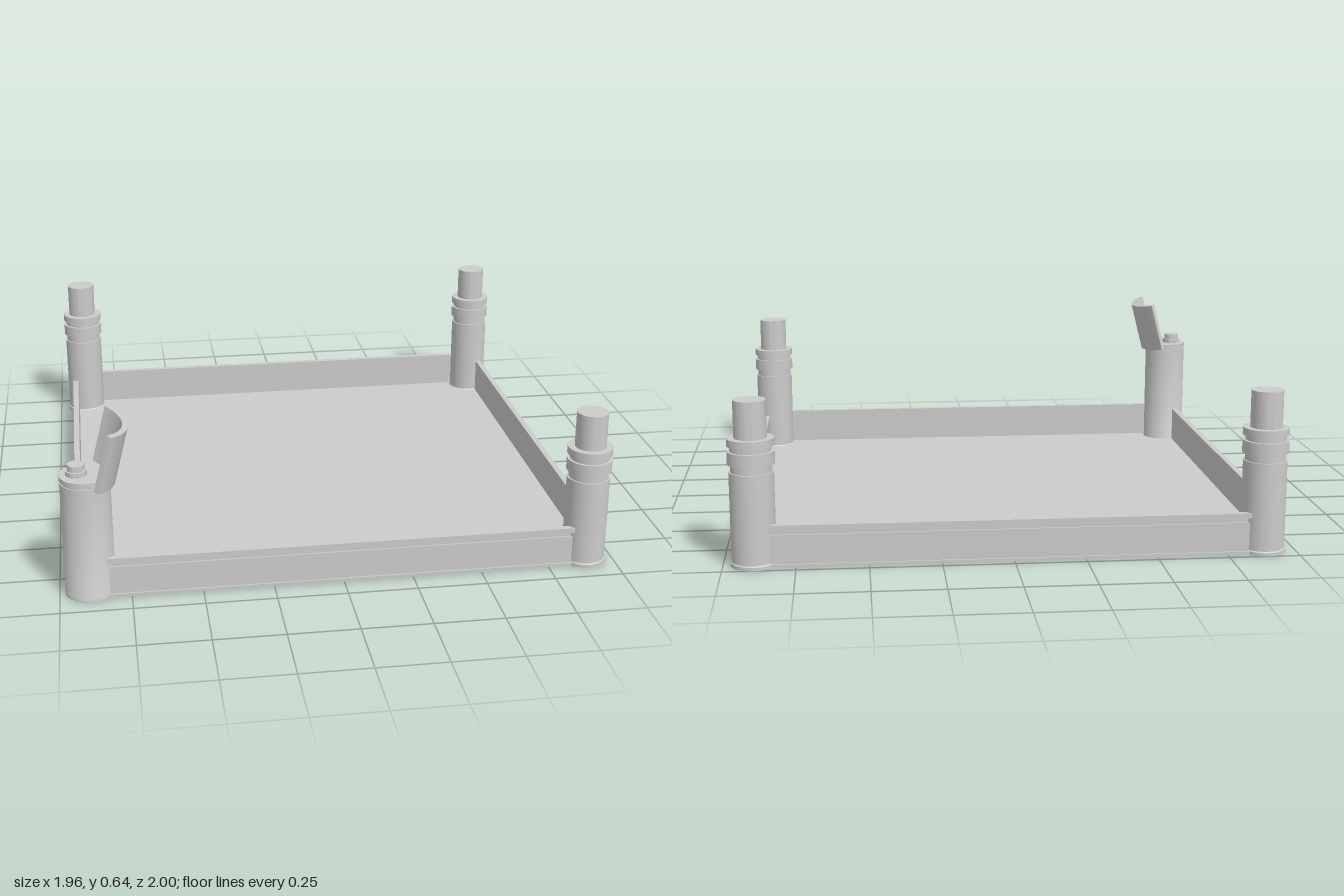
import * as THREE from 'three';
import { toCreasedNormals } from 'three/addons/utils/BufferGeometryUtils.js';

const material = new THREE.MeshStandardMaterial({ color: 0xcccccc });

function part(name, geometry, x = 0, y = 0, z = 0) {
  const mesh = new THREE.Mesh(geometry, material);
  mesh.name = name;
  mesh.position.set(x, y, z);
  return mesh;
}

// Turned solid from [radius, height] pairs, bottom to top
function turned(profile) {
  const points = profile.map(([r, y]) => new THREE.Vector2(r, y));
  return toCreasedNormals(new THREE.LatheGeometry(points, 40), 0.5);
}

// Wall section with a lower face, a groove and a top rim; +x is outward
function wallGeometry(length) {
  const shape = new THREE.Shape([
    [-0.022, 0.005], [-0.006, 0.005], [-0.006, 0.115], [-0.012, 0.115],
    [-0.012, 0.132], [0, 0.132], [0, 0.15], [-0.022, 0.15],
  ].map(([x, y]) => new THREE.Vector2(x, y)));
  const geometry = new THREE.ExtrudeGeometry(shape, { depth: length, bevelEnabled: false });
  return geometry.translate(0, 0, -length / 2);
}

export function createModel() {
  const model = new THREE.Group();
  model.name = 'tray';

  // Floor slab
  const halfX = 0.939, back = -0.976, front = 0.912;
  const midZ = (back + front) / 2;
  model.add(part('floor', new THREE.BoxGeometry(halfX * 2, 0.012, front - back), 0, 0.006, midZ));

  // Four low walls running between the posts
  const walls = [
    ['leftWall', halfX, midZ, 0, 1.77],
    ['rightWall', -halfX, midZ, Math.PI, 1.77],
    ['frontWall', 0, front, -Math.PI / 2, 1.78],
    ['backWall', 0, back, Math.PI / 2, 1.78],
  ];
  for (const [name, x, z, turn, length] of walls) {
    const wall = part(name, wallGeometry(length), x, 0, z);
    wall.rotation.y = turn;
    model.add(wall);
  }

  // Three ringed posts with pegs
  const postGeometry = turned([
    [0, 0], [0.081, 0], [0.081, 0.012], [0.077, 0.016], [0.077, 0.33],
    [0.071, 0.33], [0.071, 0.357], [0.081, 0.357], [0.081, 0.402],
    [0.071, 0.402], [0.071, 0.42], [0.081, 0.42], [0.081, 0.447],
    [0.056, 0.447], [0.056, 0.578], [0, 0.578],
  ]);
  model.add(part('backRightPost', postGeometry, -0.884, 0, -0.921));
  model.add(part('backLeftPost', postGeometry, 0.894, 0, -0.921));
  model.add(part('frontLeftPost', postGeometry, 0.894, 0, 0.857));

  // Plain wider post with an off-centre knob
  model.add(part('frontRightPost', turned([
    [0, 0], [0.089, 0], [0.089, 0.012], [0.087, 0.016], [0.087, 0.425],
    [0.083, 0.425], [0.083, 0.433], [0.088, 0.433], [0.088, 0.45], [0, 0.45],
  ]), -0.892, 0, 0.85));
  model.add(part('knob', turned([
    [0.037, 0.445], [0.037, 0.467], [0.03, 0.467], [0.03, 0.488], [0, 0.488],
  ]), -0.92, 0, 0.85));

  // Curved, tilted shield beside the plain post
  const outer = 0.205, inner = 0.185, half = 0.805, height = 0.207;
  const arc = new THREE.Shape();
  arc.absarc(-outer, 0, outer, -half, half, false);
  arc.absarc(-outer, 0, inner, half, -half, true);
  arc.closePath();
  const shieldGeometry = new THREE.ExtrudeGeometry(arc, { depth: height, bevelEnabled: false, curveSegments: 20 });
  shieldGeometry.rotateX(-Math.PI / 2);
  const shield = part('shield', toCreasedNormals(shieldGeometry, 0.5), -0.788, 0.422, 0.852);
  shield.rotation.z = -0.25;
  model.add(shield);

  return model;
}
